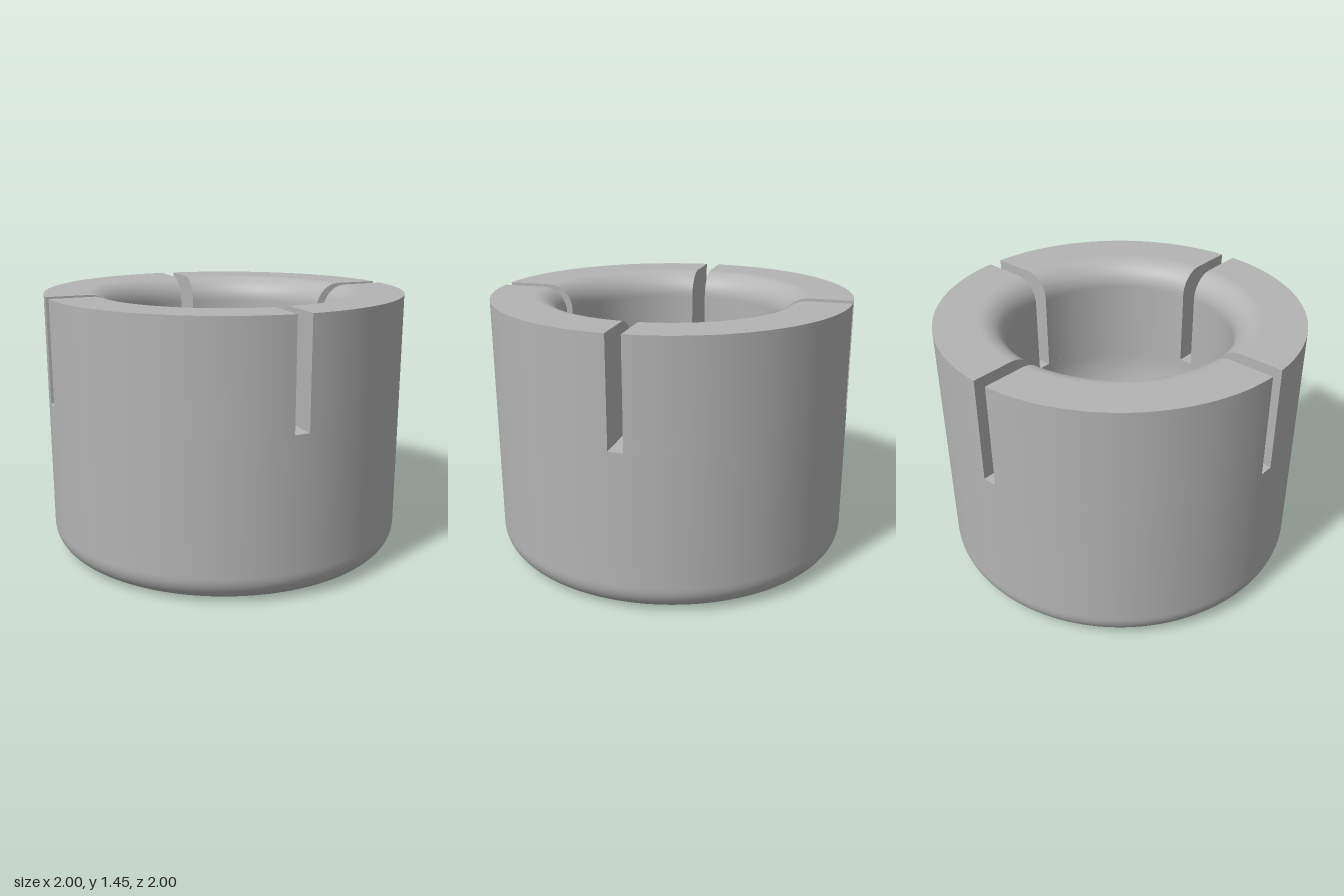
import * as THREE from 'three';

const H = 1.45, R = 1, BORE = 0.62, HOLE = 0.29, FILLET = 0.14;
const SLOT_Y = 0.87, HALF_GAP = 0.04;
const rad = THREE.MathUtils.degToRad;

// Points along an arc in the (radius, height) plane, angles in degrees
function arc(cx, cy, r, from, to, n = 16) {
  return Array.from({ length: n + 1 }, (_, i) => {
    const a = rad(from + (to - from) * i / n);
    return new THREE.Vector2(cx + r * Math.cos(a), cy + r * Math.sin(a));
  });
}
const pt = (x, y) => new THREE.Vector2(x, y);

// One quarter of the slotted collar: a lathe whose ends stay parallel to the slots
function quarterShell(profile) {
  const seg = 40;
  const geo = new THREE.LatheGeometry(profile, seg, 0, Math.PI / 2);
  const pos = geo.attributes.position;
  for (let i = 0; i < pos.count; i++) {
    const t = Math.floor(i / profile.length) / seg;
    const r = profile[i % profile.length].x;
    const half = Math.asin(HALF_GAP / r);
    const a = half + t * (Math.PI / 2 - 2 * half);
    pos.setX(i, r * Math.sin(a));
    pos.setZ(i, r * Math.cos(a));
  }
  geo.computeVertexNormals();
  return geo;
}

export function createModel() {
  const group = new THREE.Group();
  const metal = new THREE.MeshStandardMaterial({ color: 0xb4b4b4 });
  metal.name = 'grey metal';
  const add = (geo, name, parent = group) => {
    const mesh = new THREE.Mesh(geo, metal);
    mesh.name = name;
    parent.add(mesh);
    return mesh;
  };

  // Lower cup: round bowl, filleted drain hole, rounded base, outer wall
  const bowlY = 0.83;
  const lipR = HOLE + FILLET;
  const lipY = bowlY - Math.sqrt((BORE + FILLET) ** 2 - lipR ** 2);
  const contact = THREE.MathUtils.radToDeg(Math.atan2(bowlY - lipY, lipR));
  const e = 0.005;
  const cup = [
    pt(BORE, SLOT_Y),
    ...arc(0, bowlY, BORE, 0, -contact, 28),
    ...arc(lipR, lipY, FILLET, 180 - contact, 180, 12).slice(1),
    ...arc(lipR, FILLET, FILLET, 180, 270),
    pt(lipR + e, 0), pt(R - FILLET - e, 0),
    ...arc(R - FILLET, FILLET, FILLET, 270, 360),
    pt(R, FILLET + e), pt(R, SLOT_Y),
  ];
  add(new THREE.LatheGeometry(cup, 160), 'cup');

  // Upper collar: four quarters with a rounded inner rim
  const rim = [
    pt(R, H), pt(BORE + FILLET + e, H),
    ...arc(BORE + FILLET, H - FILLET, FILLET, 90, 180),
    pt(BORE, H - FILLET - e), pt(BORE, SLOT_Y),
  ];
  const outerGeo = quarterShell([pt(R, SLOT_Y), pt(R, H)]);
  const rimGeo = quarterShell(rim);

  // Slot walls follow the collar section
  const wallGeo = new THREE.ShapeGeometry(new THREE.Shape([pt(R, SLOT_Y), ...rim]));
  const wp = wallGeo.attributes.position;
  for (let i = 0; i < wp.count; i++) {
    wp.setX(i, Math.sqrt(wp.getX(i) ** 2 - HALF_GAP ** 2));
  }
  const backWall = wallGeo.clone().translate(0, 0, -HALF_GAP);
  const frontWall = wallGeo.clone().translate(0, 0, HALF_GAP);
  frontWall.index.array.reverse();
  frontWall.computeVertexNormals();

  const floorGeo = new THREE.PlaneGeometry(R - BORE, 2 * HALF_GAP)
    .rotateX(-Math.PI / 2).translate((R + BORE) / 2, SLOT_Y, 0);

  for (let i = 0; i < 4; i++) {
    const quarter = new THREE.Group();
    quarter.name = 'collarQuarter' + (i + 1);
    quarter.rotation.y = i * Math.PI / 2;
    add(outerGeo, 'outerWall', quarter);
    add(rimGeo, 'rim', quarter);
    add(backWall, 'slotWallBack', quarter);
    add(frontWall, 'slotWallFront', quarter);
    add(floorGeo, 'slotFloor', quarter);
    group.add(quarter);
  }
  return group;
}
